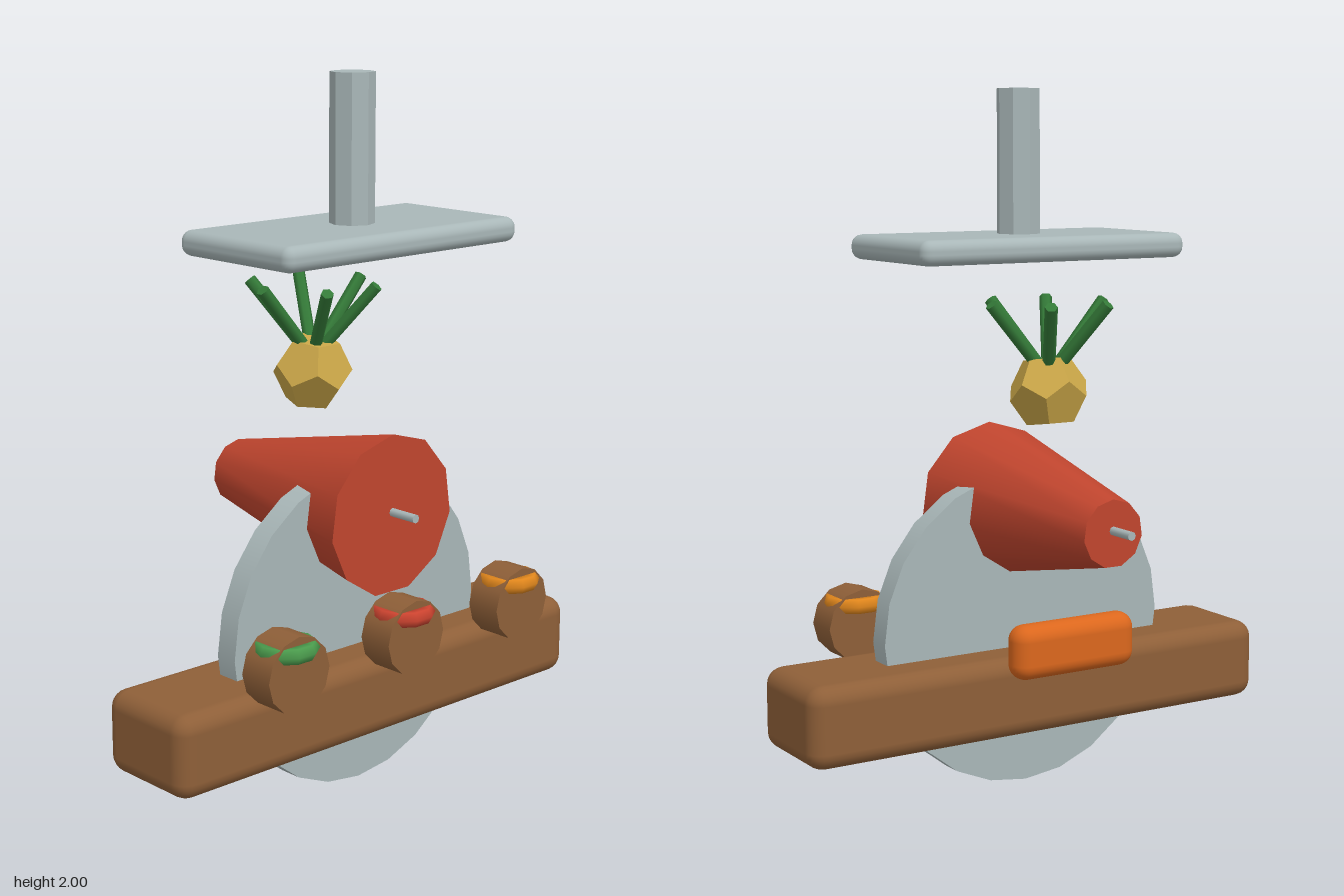
import * as THREE from 'three';
import { RoundedBoxGeometry } from 'three/addons/geometries/RoundedBoxGeometry.js';

const palette = {
  steel: 0xa9b7b8, wood: 0x8e5f38, clayRed: 0xc0452e, gold: 0xcaa648,
  leafGreen: 0x347a38, gemGreen: 0x4a9a4c, gemRed: 0xcb432f,
  gemOrange: 0xe0861c, orange: 0xdb671d,
};

export function createModel() {
  const model = new THREE.Group();
  model.name = 'model';
  const mats = {};
  for (const [name, color] of Object.entries(palette)) {
    mats[name] = new THREE.MeshStandardMaterial({ color });
    mats[name].name = name;
  }

  const add = (name, geo, mat, x, y, z, parent = model) => {
    const mesh = new THREE.Mesh(geo, mats[mat]);
    mesh.name = name;
    mesh.position.set(x, y, z);
    parent.add(mesh);
    return mesh;
  };
  const faceted = (geo) => {
    const g = geo.index ? geo.toNonIndexed() : geo;
    g.computeVertexNormals();
    return g;
  };
  // Cylinder lying along z, with rBack at -z and rFront at +z
  const barrel = (rBack, rFront, length, sides) =>
    new THREE.CylinderGeometry(rBack, rFront, length, sides).rotateX(-Math.PI / 2);

  // Overhead plate and its post
  add('post', faceted(new THREE.CylinderGeometry(0.062, 0.062, 0.42, 8)), 'steel', 0, 1.79, 0.138);
  add('topPlate', new RoundedBoxGeometry(0.855, 0.07, 0.442, 3, 0.03), 'steel', 0, 1.56, 0.138);

  // Upright disc crossing the beam
  add('disc', barrel(0.46, 0.46, 0.07, 24), 'steel', 0, 0.462, 0.139);
  add('beam', new RoundedBoxGeometry(1.495, 0.234, 0.328, 3, 0.05), 'wood', 0, 0.289, 0.139);

  // Tapered roll on a thin spindle
  add('taperedRoll', barrel(0.0945, 0.2276, 0.65, 11), 'clayRed', 0, 0.809, -0.021);
  add('spindle', barrel(0.0125, 0.0125, 0.827, 8), 'steel', 0, 0.817, -0.02);

  // Block behind the beam
  add('rearBlock', new RoundedBoxGeometry(0.394, 0.155, 0.092, 4, 0.044), 'orange', 0, 0.458, -0.139);

  // Three knobs, each with a coloured ring set into it
  const knobGeo = barrel(0.106, 0.106, 0.106, 12);
  const ringGeo = new THREE.TorusGeometry(0.067, 0.024, 6, 10).rotateX(Math.PI / 2);
  [['gemGreen', -0.43], ['gemRed', 0], ['gemOrange', 0.43]].forEach(([mat, x]) => {
    add('knob', knobGeo, 'wood', x, 0.48, 0.347);
    add('knobRing', ringGeo, mat, x, 0.542, 0.347);
  });

  // Faceted bulb with six leaning stems
  const plant = new THREE.Group();
  plant.name = 'plant';
  plant.position.set(0, 1.162, -0.02);
  model.add(plant);
  add('bulb', faceted(new THREE.DodecahedronGeometry(0.114).rotateX(0.7)), 'gold', 0, 0, 0, plant);
  const up = new THREE.Vector3(0, 1, 0);
  for (let i = 0; i < 6; i++) {
    const a = (i * Math.PI) / 3;
    const at = (r, y) => new THREE.Vector3(Math.cos(a) * r, y, Math.sin(a) * r);
    const base = at(0.025, 0.065), tip = at(0.185, 0.25);
    const dir = tip.clone().sub(base);
    const mid = base.clone().add(tip).multiplyScalar(0.5);
    const stem = add('stem', new THREE.CylinderGeometry(0.018, 0.018, dir.length(), 6),
      'leafGreen', mid.x, mid.y, mid.z, plant);
    stem.quaternion.setFromUnitVectors(up, dir.normalize());
  }
  return model;
}
